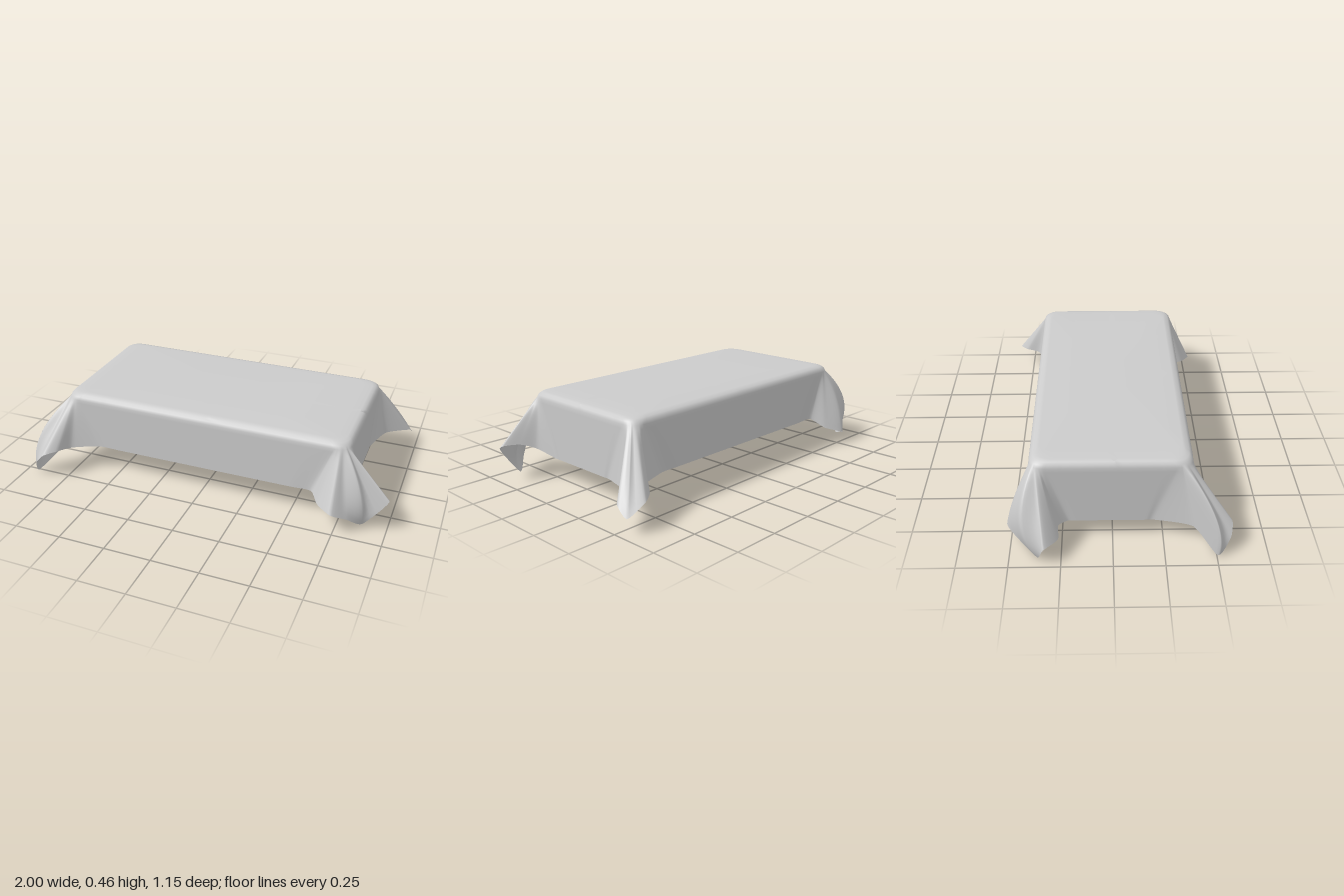
import * as THREE from 'three';

const TOP = 0.46;

// Front, left, back and right sides in turn: hem height, and the hanging fold
// [x, y, z] at the corner where that side ends.
const sides = [
  { hemY: 0.157, fold: [[0.66, 0.142, 0.465], [0.74, 0.13, 0.518], [0.81, 0.085, 0.46],
    [0.88, 0.03, 0.392], [1, 0.19, 0.385], [0.91, 0.2, 0.34], [0.835, 0.17, 0.295]] },
  { hemY: 0.126, fold: [[0.84, 0.13, -0.39], [0.96, 0.13, -0.475], [0.968, 0.082, -0.55],
    [0.88, 0.14, -0.575], [0.81, 0.155, -0.53], [0.76, 0.16, -0.45]] },
  { hemY: 0.16, fold: [[-0.67, 0.105, -0.465], [-0.77, 0.07, -0.52], [-0.85, 0.037, -0.455],
    [-0.935, 0.003, -0.365], [-1, 0.11, -0.33], [-0.92, 0.105, -0.262], [-0.83, 0.11, -0.265]] },
  { hemY: 0.102, fold: [[-0.84, 0.105, 0.39], [-0.935, 0.003, 0.505], [-0.905, 0.09, 0.565],
    [-0.85, 0.15, 0.575], [-0.79, 0.165, 0.53], [-0.74, 0.157, 0.45]] },
];

// Direction of travel along side k, turning a quarter at each corner
const direction = (k) => new THREE.Vector3(Math.cos(k * Math.PI / 2), 0, -Math.sin(k * Math.PI / 2));

// Table corner at the end of side k
const corner = (k) => new THREE.Vector3(k < 2 ? 0.785 : -0.787, TOP, k % 3 === 0 ? 0.384 : -0.398);

// Point on the softened table corner, s running 0..1 around it
function cornerEdge(k, s) {
  const d = 0.08;
  return corner(k)
    .addScaledVector(direction(k), -d * (1 - s) ** 2)
    .addScaledVector(direction(k + 1), d * s * s);
}

// Hem around corner k: straight run in, fold, straight run out
function cornerHem(k) {
  const lead = 0.18;
  const start = corner(k).addScaledVector(direction(k), -lead).setY(sides[k].hemY);
  const end = corner(k).addScaledVector(direction(k + 1), lead).setY(sides[(k + 1) % 4].hemY);
  return [start, ...sides[k].fold.map((p) => new THREE.Vector3(...p)), end];
}

// Profile from the middle of the top, over the rounded shoulder, down to the hem
function clothColumn(e, h) {
  const outX = Math.sign(e.x), outZ = Math.sign(e.z);
  const scaled = (s, y) => new THREE.Vector3(e.x * s, y, e.z * s);
  const inset = (d, y) => new THREE.Vector3(e.x - outX * d, y, e.z - outZ * d);
  const column = [
    scaled(0, 0.466), scaled(0.5, 0.465), scaled(0.88, 0.461),
    inset(0.035, 0.457), inset(0.018, 0.452), inset(0.006, 0.441),
  ];
  const shoulder = new THREE.Vector3(e.x, 0.425, e.z);
  const skirtRows = 14;
  // the lowest tips belly outwards before curling under
  const belly = 2.6 * Math.max(0, 0.095 - h.y);
  for (let r = 0; r <= skirtRows; r++) {
    const t = r / skirtRows, out = belly * t * (1 - t);
    column.push(shoulder.clone().lerp(h, t).add(new THREE.Vector3(outX * out, 0, outZ * out)));
  }
  return column;
}

function buildCloth() {
  // Matching control points along the table edge and along the hem
  const edgePts = [], hemPts = [];
  for (let k = 0; k < 4; k++) {
    const points = cornerHem(k);
    points.forEach((p, j) => {
      edgePts.push(cornerEdge(k, j / (points.length - 1)));
      hemPts.push(p);
    });
    // straight side up to the next corner
    const next = (k + 1) % 4;
    const e0 = edgePts.at(-1), h0 = hemPts.at(-1);
    const e1 = cornerEdge(next, 0), h1 = cornerHem(next)[0];
    for (const t of [0.1, 0.35, 0.65, 0.9]) {
      edgePts.push(e0.clone().lerp(e1, t));
      hemPts.push(h0.clone().lerp(h1, t));
    }
  }
  const edge = new THREE.CatmullRomCurve3(edgePts, true);
  const hem = new THREE.CatmullRomCurve3(hemPts, true, 'catmullrom', 0.3);

  // Columns all round, joined into a closed skin
  const n = edgePts.length * 6;
  const columns = Array.from({ length: n }, (_, i) => clothColumn(edge.getPoint(i / n), hem.getPoint(i / n)));
  const rows = columns[0].length, index = [];
  for (let i = 0; i < n; i++) {
    const a = i * rows, b = ((i + 1) % n) * rows;
    for (let r = 0; r < rows - 1; r++) {
      index.push(a + r, a + r + 1, b + r + 1);
      if (r > 0) index.push(a + r, b + r + 1, b + r);
    }
  }
  const geometry = new THREE.BufferGeometry().setFromPoints(columns.flat());
  geometry.setIndex(index);
  geometry.computeVertexNormals();
  return geometry;
}

export function createModel() {
  const group = new THREE.Group();
  group.name = 'drapedTablecloth';
  const cloth = new THREE.Mesh(
    buildCloth(),
    new THREE.MeshStandardMaterial({ color: 0xcccccc, side: THREE.DoubleSide }),
  );
  cloth.name = 'tablecloth';
  group.add(cloth);
  return group;
}
